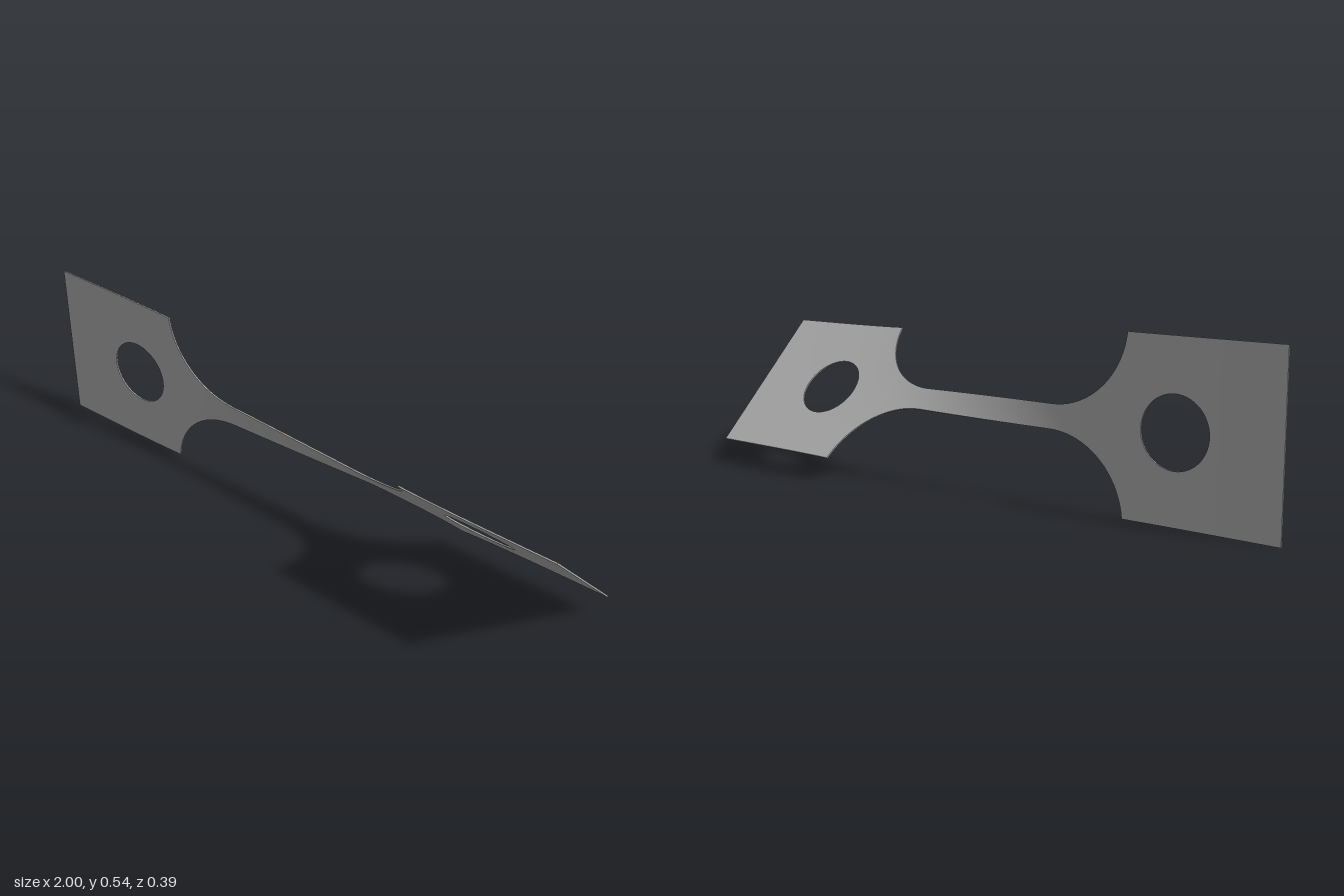
import * as THREE from 'three';
import { toCreasedNormals } from 'three/addons/utils/BufferGeometryUtils.js';

const END_HALF = 0.271, NECK_HALF = 0.038, NECK_END = 0.25, SHOULDER = 0.508;
const HOLE_X = 0.67, HOLE_R = 0.109, THICK = 0.005;
const DX = SHOULDER - NECK_END, DY = END_HALF - NECK_HALF;
const FILLET_R = (DX * DX + DY * DY) / (2 * DY);

// Half height of the flat outline: wide tabs, round fillets, narrow neck
function outline(x) {
  const a = Math.abs(x);
  if (a >= SHOULDER - 1e-6) return END_HALF;
  if (a <= NECK_END) return NECK_HALF;
  return NECK_HALF + FILLET_R - Math.sqrt(FILLET_R ** 2 - (a - NECK_END) ** 2);
}

// Half height of the bolt holes
function hole(x) {
  const d = Math.abs(x) - HOLE_X;
  return Math.sqrt(Math.max(0, HOLE_R ** 2 - d * d));
}

// Steady twist along the neck, easing out in the tabs
function twist(x) {
  const a = Math.abs(x);
  const t = a < NECK_END ? 14 * a / NECK_END : 14 + 8.5 * (1 - Math.exp(-(a - NECK_END) / 0.15));
  return THREE.MathUtils.degToRad(22.5 + Math.sign(x) * t);
}

function place(x, v, w) {
  const t = twist(x), c = Math.cos(t), s = Math.sin(t);
  return [x, END_HALF + v * c - w * s, v * s + w * c];
}

const range = (n, f) => Array.from({ length: n + 1 }, (_, i) => f(i / n));

export function createModel() {
  const pos = [];
  const quad = (a, b, c, d) => {
    for (const p of [a, b, c, a, c, d]) pos.push(...p);
  };
  const h = THICK / 2, ROWS = 6;

  // Thin plate between two edge curves, open at its ends
  function strip(xs, low, high) {
    for (let i = 0; i + 1 < xs.length; i++) {
      const p = xs[i], q = xs[i + 1];
      const at = (x, k, w) => place(x, THREE.MathUtils.lerp(low(x), high(x), k / ROWS), w);
      for (let k = 0; k < ROWS; k++) {
        quad(at(p, k, h), at(q, k, h), at(q, k + 1, h), at(p, k + 1, h));
        quad(at(q, k, -h), at(p, k, -h), at(p, k + 1, -h), at(q, k + 1, -h));
      }
      if (low !== zero) quad(at(p, 0, -h), at(q, 0, -h), at(q, 0, h), at(p, 0, h));
      if (high !== zero) quad(at(p, ROWS, h), at(q, ROWS, h), at(q, ROWS, -h), at(p, ROWS, -h));
    }
  }
  const zero = () => 0;
  const bottom = x => -outline(x), holeBottom = x => -hole(x);
  const solid = xs => { strip(xs, bottom, zero); strip(xs, zero, outline); };

  // Neck
  solid(range(24, t => -NECK_END + 2 * NECK_END * t));

  for (const side of [-1, 1]) {
    const ordered = xs => (side > 0 ? xs : xs.map(x => -x).reverse());
    // Fillet, solid web, ring around the hole, outer web
    solid(ordered(range(20, t => NECK_END + DX * Math.sin(t * Math.PI / 2))));
    solid(ordered(range(3, t => SHOULDER + (HOLE_X - HOLE_R - SHOULDER) * t)));
    const ring = ordered(range(28, t => HOLE_X - HOLE_R * Math.cos(t * Math.PI)));
    strip(ring, bottom, holeBottom);
    strip(ring, hole, outline);
    solid(ordered(range(5, t => HOLE_X + HOLE_R + (1 - HOLE_X - HOLE_R) * t)));
    // Tab end face
    const e = END_HALF;
    quad(place(side, -e, side * h), place(side, -e, -side * h),
      place(side, e, -side * h), place(side, e, side * h));
  }

  const flat = new THREE.BufferGeometry();
  flat.setAttribute('position', new THREE.Float32BufferAttribute(pos, 3));
  const steel = new THREE.MeshStandardMaterial({ color: 0xb8b8b8 });
  steel.name = 'grey steel';
  const plate = new THREE.Mesh(toCreasedNormals(flat, 0.6), steel);
  plate.name = 'twistedPlate';

  const group = new THREE.Group();
  group.name = 'twistedTestStrip';
  group.add(plate);
  return group;
}
